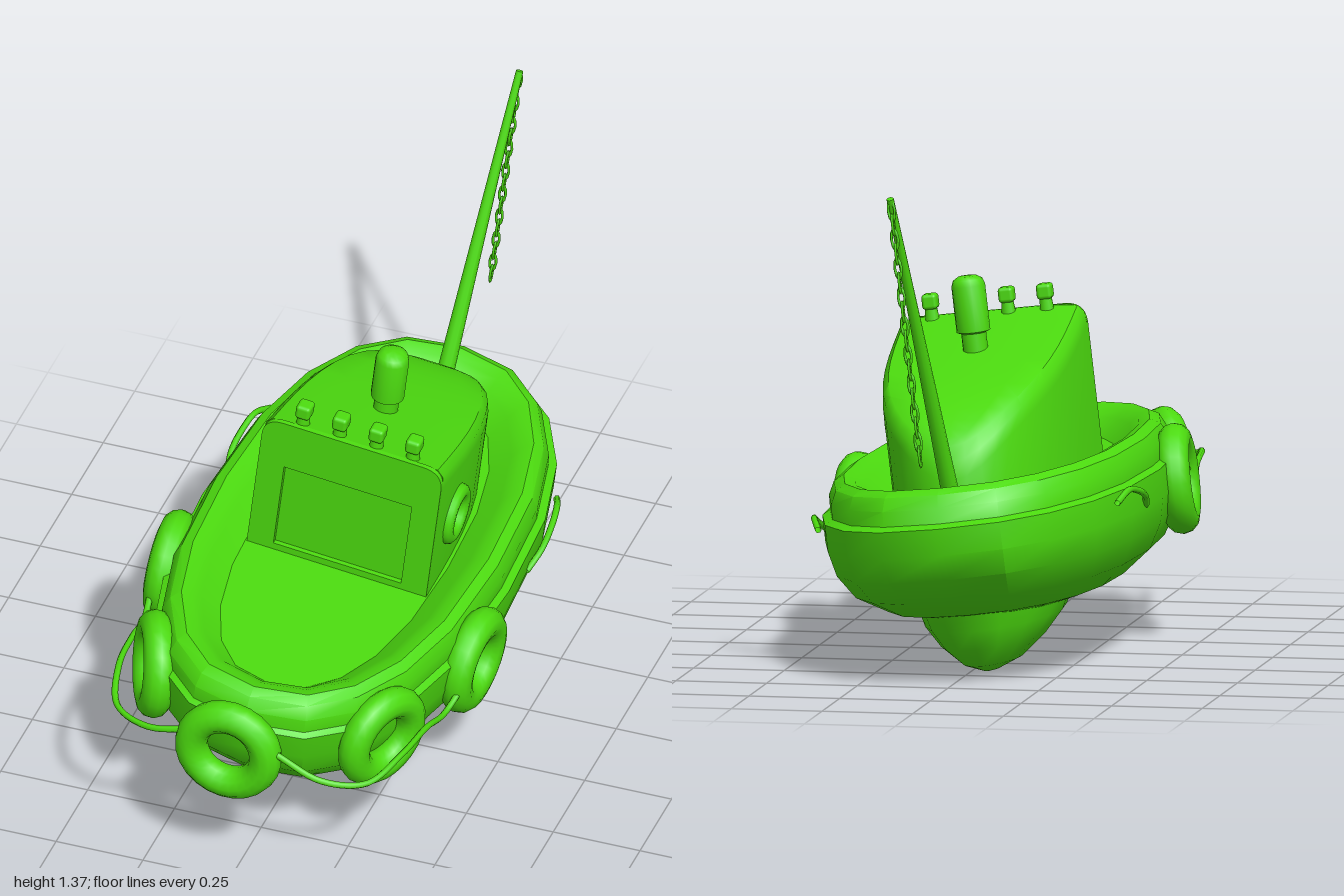
import * as THREE from 'three';
import { toCreasedNormals } from 'three/addons/utils/BufferGeometryUtils.js';
import { RoundedBoxGeometry } from 'three/addons/geometries/RoundedBoxGeometry.js';

const green = new THREE.MeshStandardMaterial({ color: 0x4cdb0f, side: THREE.DoubleSide });
const V = (x, y, z) => new THREE.Vector3(x, y, z);

function add(parent, name, geometry, x = 0, y = 0, z = 0) {
  const mesh = new THREE.Mesh(geometry, green);
  mesh.name = name;
  mesh.position.set(x, y, z);
  parent.add(mesh);
  return mesh;
}

// Skin a list of closed rings, ordered upwards, each running front to +x to back
function loft(rings, crease = 0.6) {
  const n = rings[0].length, index = [];
  for (let i = 0; i < rings.length - 1; i++) {
    for (let j = 0; j < n; j++) {
      const a = i * n + j, b = i * n + (j + 1) % n;
      index.push(a, b, b + n, a, b + n, a + n);
    }
  }
  const geometry = new THREE.BufferGeometry().setFromPoints(rings.flat());
  geometry.setIndex(index);
  return toCreasedNormals(geometry, crease);
}

// Rounded boat-shaped ring at height y
function ovalRing([y, w, front, back], sides, power = 2.4) {
  const curve = (v) => Math.sign(v) * Math.abs(v) ** (2 / power);
  return Array.from({ length: sides }, (_, j) => {
    const a = (j / sides) * Math.PI * 2;
    return V(w * curve(Math.sin(a)), y,
      (front + back) / 2 + ((front - back) / 2) * curve(Math.cos(a)));
  });
}

function tube(parent, name, points, radius) {
  const path = new THREE.CatmullRomCurve3(points);
  return add(parent, name, new THREE.TubeGeometry(path, points.length * 6, radius, 6));
}

function buildHull(boat) {
  // height, half width, front z, back z
  const hull = [
    [0.145, 0, 0.1, 0.05], [0.15, 0.2, 0.5, -0.42], [0.18, 0.31, 0.65, -0.6],
    [0.24, 0.39, 0.81, -0.76], [0.31, 0.43, 0.88, -0.845], [0.38, 0.445, 0.905, -0.875],
    [0.455, 0.445, 0.92, -0.88], [0.465, 0.425, 0.905, -0.845], [0.505, 0.425, 0.905, -0.835],
    [0.54, 0.408, 0.885, -0.815], [0.555, 0.38, 0.855, -0.785], [0.545, 0.35, 0.82, -0.75],
    [0.525, 0.325, 0.785, -0.715], [0.48, 0.27, 0.73, -0.66], [0.48, 0, 0.1, 0],
  ];
  add(boat, 'hull', loft(hull.map((r) => ovalRing(r, 20))));

  const keel = [
    [0, 0, -0.34, -0.4], [0.003, 0.025, -0.3, -0.42], [0.025, 0.08, -0.17, -0.49],
    [0.075, 0.14, -0.02, -0.54], [0.13, 0.185, 0.12, -0.57], [0.2, 0.21, 0.24, -0.6],
  ];
  add(boat, 'keel', loft(keel.map((r) => ovalRing(r, 16, 2)), 0.9));
}

function buildCabin(boat) {
  const front = 0.165, length = 0.775, w = 0.26, steps = 12;
  const roof = (z) => {
    const t = (front - z) / length;
    return 0.91 - 0.2 * t - 0.1 * t ** 8;
  };

  // Flat at the front, rounded to a tip at the back
  const side = [];
  for (let k = 0; k < steps; k++) {
    const u = Math.sin((k / steps) * Math.PI / 2);
    side.push([w * Math.sqrt(1 - u ** 3), front - length * u]);
  }
  const outline = [[0, front], ...side, [0, front - length],
    ...side.slice().reverse().map(([x, z]) => [-x, z])];
  const edge = [[1, 1, 0.06], [0.985, 0.985, 0.025], [0.92, 0.96, 0.006], [0.6, 0.95, 0], [0, 0.94, 0]];
  const rings = [outline.map(([x, z]) => V(x, 0.46, z))];
  for (const [sx, sz, drop] of edge) {
    rings.push(outline.map(([x, z]) => {
      const zz = front - (front - z) * sz;
      return V(x * sx, roof(zz) - drop, zz);
    }));
  }
  add(boat, 'cabin', loft(rings, 0.7));

  // Front wall with its window recess
  const wall = new THREE.Shape();
  wall.moveTo(-w, 0.46).lineTo(w, 0.46).lineTo(w, 0.85);
  wall.quadraticCurveTo(w, 0.91, w - 0.06, 0.91).lineTo(-w + 0.06, 0.91);
  wall.quadraticCurveTo(-w, 0.91, -w, 0.85);
  const hole = new THREE.Path();
  hole.moveTo(-0.185, 0.5).lineTo(-0.185, 0.765).lineTo(0.185, 0.765).lineTo(0.185, 0.5).closePath();
  wall.holes.push(hole);
  add(boat, 'frontWall', new THREE.ExtrudeGeometry(wall, { depth: 0.015, bevelEnabled: false }), 0, 0, front);

  // Porthole on the left side only
  const porthole = add(boat, 'porthole', new THREE.TorusGeometry(0.065, 0.022, 10, 24), 0.26, 0.65, 0.01);
  porthole.rotation.y = Math.PI / 2;

  // Row of roof lamps
  for (let i = 0; i < 4; i++) {
    const x = -0.158 + i * 0.106;
    add(boat, 'roofLamp', new RoundedBoxGeometry(0.042, 0.042, 0.048, 2, 0.01), x, 0.952, 0.147);
    add(boat, 'lampFoot', new THREE.CylinderGeometry(0.016, 0.02, 0.04, 10), x, 0.918, 0.147);
  }

  // Funnel with a rounded top and a narrower foot
  const profile = [[0.034, 0.8], [0.034, 0.885], [0.046, 0.89], [0.046, 1.015], [0.04, 1.032], [0.025, 1.041], [0, 1.043]]
    .map(([x, y]) => new THREE.Vector2(x, y));
  add(boat, 'funnel', toCreasedNormals(new THREE.LatheGeometry(profile, 18), 0.8), 0, 0, -0.095);
}

function buildMast(boat) {
  const base = V(0, 0.48, -0.625), tip = V(0, 1.377, -0.988);
  const mid = base.clone().lerp(tip, 0.5);
  const mast = add(boat, 'mast', new THREE.CylinderGeometry(0.01, 0.025, base.distanceTo(tip), 10), mid.x, mid.y, mid.z);
  mast.quaternion.setFromUnitVectors(V(0, 1, 0), tip.clone().sub(base).normalize());

  // Hanging chain of links turned alternately
  const link = new THREE.TorusGeometry(0.009, 0.0038, 6, 10).scale(1, 2.6, 1);
  const count = 18;
  for (let i = 0; i < count; i++) {
    const mesh = add(boat, 'chainLink', link, 0, 1.345 - (i / (count - 1)) * 0.675, -0.988);
    mesh.rotation.y = (i % 2) * Math.PI / 2;
  }
}

function buildFenders(boat) {
  const tire = new THREE.TorusGeometry(0.107, 0.045, 12, 24);
  add(boat, 'bowTire', tire, -0.02, 0.4, 0.955);
  for (const s of [1, -1]) {
    const shoulder = add(boat, 'shoulderTire', tire, s * 0.33, 0.395, 0.695);
    shoulder.rotation.y = s * 1.12;
    shoulder.scale.setScalar(0.98);
    add(boat, 'sideTire', tire, s * 0.44, 0.395, 0.27).rotation.y = s * 1.48;

    // Rope slung between the tires, and a loose length further aft
    tube(boat, 'fenderRope', [V(s * 0.12, 0.44, 0.965), V(s * 0.25, 0.4, 0.965), V(s * 0.36, 0.385, 0.9),
      V(s * 0.41, 0.405, 0.76), V(s * 0.425, 0.39, 0.6), V(s * 0.435, 0.35, 0.47),
      V(s * 0.45, 0.39, 0.38), V(s * 0.455, 0.45, 0.27)], 0.009);
    tube(boat, 'aftRope', [V(s * 0.435, 0.385, -0.17), V(s * 0.45, 0.42, -0.24), V(s * 0.447, 0.445, -0.32),
      V(s * 0.437, 0.455, -0.38), V(s * 0.415, 0.43, -0.45)], 0.009);
  }
}

export function createModel() {
  const model = new THREE.Group();
  model.name = 'tugboat';

  // The whole boat heels slightly towards its left
  const heel = 0.116;
  const boat = new THREE.Group();
  boat.name = 'heeledBoat';
  boat.rotation.z = -heel;
  boat.position.set(-0.4 * Math.sin(heel), 0.4 - 0.4 * Math.cos(heel), 0);
  model.add(boat);

  buildHull(boat);
  buildCabin(boat);
  buildMast(boat);
  buildFenders(boat);
  return model;
}
